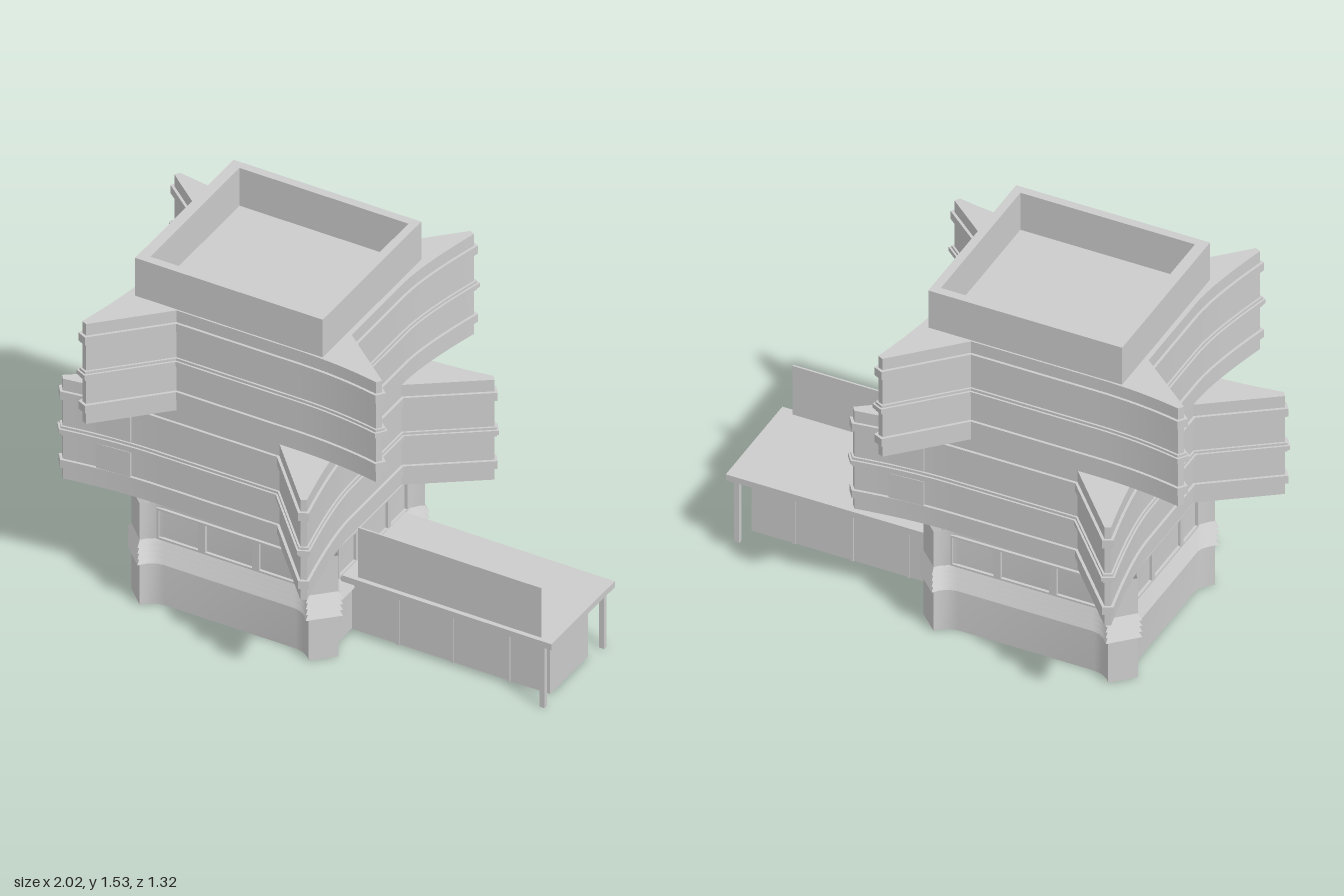
import * as THREE from 'three';
import { toCreasedNormals } from 'three/addons/utils/BufferGeometryUtils.js';

const CX = -0.3; // tower axis
const mat = new THREE.MeshStandardMaterial({ color: 0xcccccc, side: THREE.DoubleSide });

function add(parent, geo, name, x = 0, y = 0, z = 0, ry = 0) {
  const m = new THREE.Mesh(geo, mat);
  m.name = name;
  m.position.set(x, y, z);
  m.rotation.y = ry;
  parent.add(m);
  return m;
}

// box given by its extents
function block(parent, name, x0, x1, y0, y1, z0, z1) {
  return add(parent, new THREE.BoxGeometry(x1 - x0, y1 - y0, z1 - z0), name,
    (x0 + x1) / 2, (y0 + y1) / 2, (z0 + z1) / 2);
}

// outline points are [x, z]; shapes are drawn in (x, -z) and laid flat
const toShape = pts => new THREE.Shape(pts.map(([x, z]) => new THREE.Vector2(x, -z)));

function slab(pts, y0, y1, hole) {
  const s = toShape(pts);
  if (hole) s.holes.push(toShape(hole));
  const g = new THREE.ExtrudeGeometry(s, { depth: y1 - y0, bevelEnabled: false });
  return toCreasedNormals(g.rotateX(-Math.PI / 2).translate(0, y0, 0), 0.4);
}

// mitred outward offset of a counter-clockwise outline
function offset(pts, d) {
  const n = pts.length;
  const normal = (a, b) => {
    const dx = b[0] - a[0], dz = b[1] - a[1], l = Math.hypot(dx, dz);
    return [-dz / l, dx / l];
  };
  return pts.map((p, i) => {
    const a = normal(pts[(i + n - 1) % n], p), b = normal(p, pts[(i + 1) % n]);
    const k = d / Math.max(1 + a[0] * b[0] + a[1] * b[1], 0.6);
    return [p[0] + (a[0] + b[0]) * k, p[1] + (a[1] + b[1]) * k];
  });
}

// wall around an outline, following a profile of [offset, y] steps
function loft(pts, profile) {
  const rings = profile.map(([d, y]) => offset(pts, d).map(([x, z]) => [x, y, z]));
  const pos = [], n = pts.length;
  for (let r = 0; r < rings.length - 1; r++) {
    for (let i = 0; i < n; i++) {
      const j = (i + 1) % n, lo = rings[r], hi = rings[r + 1];
      for (const v of [lo[i], lo[j], hi[j], lo[i], hi[j], hi[i]]) pos.push(...v);
    }
  }
  const g = new THREE.BufferGeometry();
  g.setAttribute('position', new THREE.Float32BufferAttribute(pos, 3));
  g.computeVertexNormals();
  return toCreasedNormals(g, 0.4);
}

const rect = (x0, x1, z0, z1) => [[x0, z1], [x1, z1], [x1, z0], [x0, z0]];

// curved wall leaving a blade tip and settling into the straight wall
function sweep(a, c, b) {
  const curve = new THREE.QuadraticBezierCurve(...[a, c, b].map(p => new THREE.Vector2(...p)));
  return curve.getPoints(8).map(p => [p.x, p.y]);
}

// pinwheel outline with four pointed blades; half is built, then turned 180 degrees
function pinwheel(side, front) {
  const half = [
    [side - 1.39 - 0.01 + 0.01 - 2 * side + 1.39, 0.385],
    ...sweep([-side + 0.015, 0.405], [-0.48, 0.372], [-0.3, 0.372]),
    [0.22, 0.372],
    [0.465, front],
    ...sweep([0.487, front - 0.01], [0.42, 0.34], [0.42, 0.2]),
    [0.42, -0.185],
  ];
  return [...half, ...half.map(([x, z]) => [-x, -z])];
}

function tier(name, outline, y) {
  const g = new THREE.Group();
  g.name = name;
  g.position.set(CX, y, 0);
  add(g, slab(outline, 0, 0.45), 'tierBody');
  for (const [y0, y1] of [[0.055, 0.09], [0.362, 0.398]]) {
    add(g, loft(outline, [[0, y0], [0.011, y0], [0.011, y1], [0, y1]]), 'tierBand');
  }
  add(g, loft(outline, [[0, 0.2], [0.008, 0.2], [0.008, 0.212], [0.016, 0.212],
    [0.016, 0.23], [0.008, 0.23], [0.008, 0.24], [0, 0.24]]), 'middleBand');
  return g;
}

// window strip: flat frame with three openings
function windowFrame(widths, gap, height) {
  const total = widths.reduce((a, b) => a + b) + gap * 2;
  const r = (x0, x1, y0, y1) => [[x0, y0], [x1, y0], [x1, y1], [x0, y1]]
    .map(p => new THREE.Vector2(...p));
  const s = new THREE.Shape(r(-total / 2 - 0.008, total / 2 + 0.008, -0.008, height + 0.008));
  let x = -total / 2;
  for (const w of widths) {
    s.holes.push(new THREE.Path(r(x, x + w, 0, height)));
    x += w + gap;
  }
  return new THREE.ExtrudeGeometry(s, { depth: 0.015, bevelEnabled: false });
}

export function createModel() {
  const model = new THREE.Group();
  model.name = 'towerBuilding';

  // ground storey: recessed walls flaring into chamfered corner piers, open below
  const ground = new THREE.Group();
  ground.name = 'groundStorey';
  ground.position.x = CX;
  const corner = [[0.28, 0.355], [0.315, 0.362], [0.345, 0.382], [0.36, 0.4],
    [0.442, 0.32], [0.425, 0.305], [0.402, 0.275], [0.395, 0.25]];
  const flip = (pts, sx, sz) => pts.map(([x, z]) => [x * sx, z * sz]);
  const plan = [...corner, ...flip(corner, 1, -1).reverse(),
    ...flip(corner, -1, -1), ...flip(corner, -1, 1).reverse()];
  const slats = [];
  for (let i = 0; i < 4; i++) slats.push([0, 0.19 + i * 0.026], [0.013, 0.19 + i * 0.026]);
  add(ground, loft(plan, [[0, 0], ...slats, [0, 0.294], [0, 0.455]]), 'groundWalls');
  const frontFrame = windowFrame([0.17, 0.2, 0.17], 0.03, 0.122);
  const sideFrame = windowFrame([0.12, 0.215, 0.12], 0.022, 0.122);
  for (const s of [1, -1]) {
    add(ground, frontFrame, 'windowFrame', 0, 0.306, s * 0.352, s > 0 ? 0 : Math.PI);
    add(ground, sideFrame, 'windowFrame', s * 0.392, 0.306, 0, s * Math.PI / 2);
  }
  model.add(ground);

  // two pinwheel tiers of opposite hand
  const lower = tier('lowerTier', pinwheel(0.7, 0.643), 0.46);
  const upperPlan = pinwheel(0.665, 0.615).map(([x, z]) => [x, -z]).reverse();
  const upper = tier('upperTier', upperPlan, 0.91);
  model.add(lower, upper);

  // small panels on the lower blades, between the bands
  for (const s of [1, -1]) {
    for (const y of [0.145, 0.302]) {
      const turn = s > 0 ? 0 : Math.PI;
      add(lower, new THREE.BoxGeometry(0.14, 0.11, 0.012), 'bladePanel',
        -0.48 * s, y, 0.384 * s, turn + 0.07);
      add(lower, new THREE.BoxGeometry(0.012, 0.11, 0.14), 'bladePanel',
        0.441 * s, y, 0.44 * s, turn + 0.16);
    }
  }

  // roof parapet around the sunken roof
  add(model, slab(rect(-0.7, 0.1, -0.365, 0.365), 1.36, 1.53,
    rect(-0.655, 0.065, -0.33, 0.33)), 'roofParapet');

  // side annex: walls, pilasters, canopy, posts and upright panel
  const annex = new THREE.Group();
  annex.name = 'sideAnnex';
  add(annex, loft(rect(0.09, 0.94, -0.14, 0.14), [[0, 0], [0, 0.28]]), 'annexWalls');
  for (const x of [0.293, 0.525, 0.765]) {
    for (const s of [1, -1]) {
      block(annex, 'annexPilaster', x - 0.006, x + 0.006, 0, 0.275, s * 0.14 - 0.006, s * 0.14 + 0.006);
    }
  }
  block(annex, 'canopy', 0.1, 1, 0.275, 0.302, -0.235, 0.235);
  for (const s of [1, -1]) {
    block(annex, 'canopyPost', 0.947, 0.968, 0, 0.275, s * 0.22 - 0.01, s * 0.22 + 0.01);
  }
  block(annex, 'uprightPanel', 0.165, 0.945, 0.302, 0.525, 0.208, 0.216);
  model.add(annex);

  return model;
}
